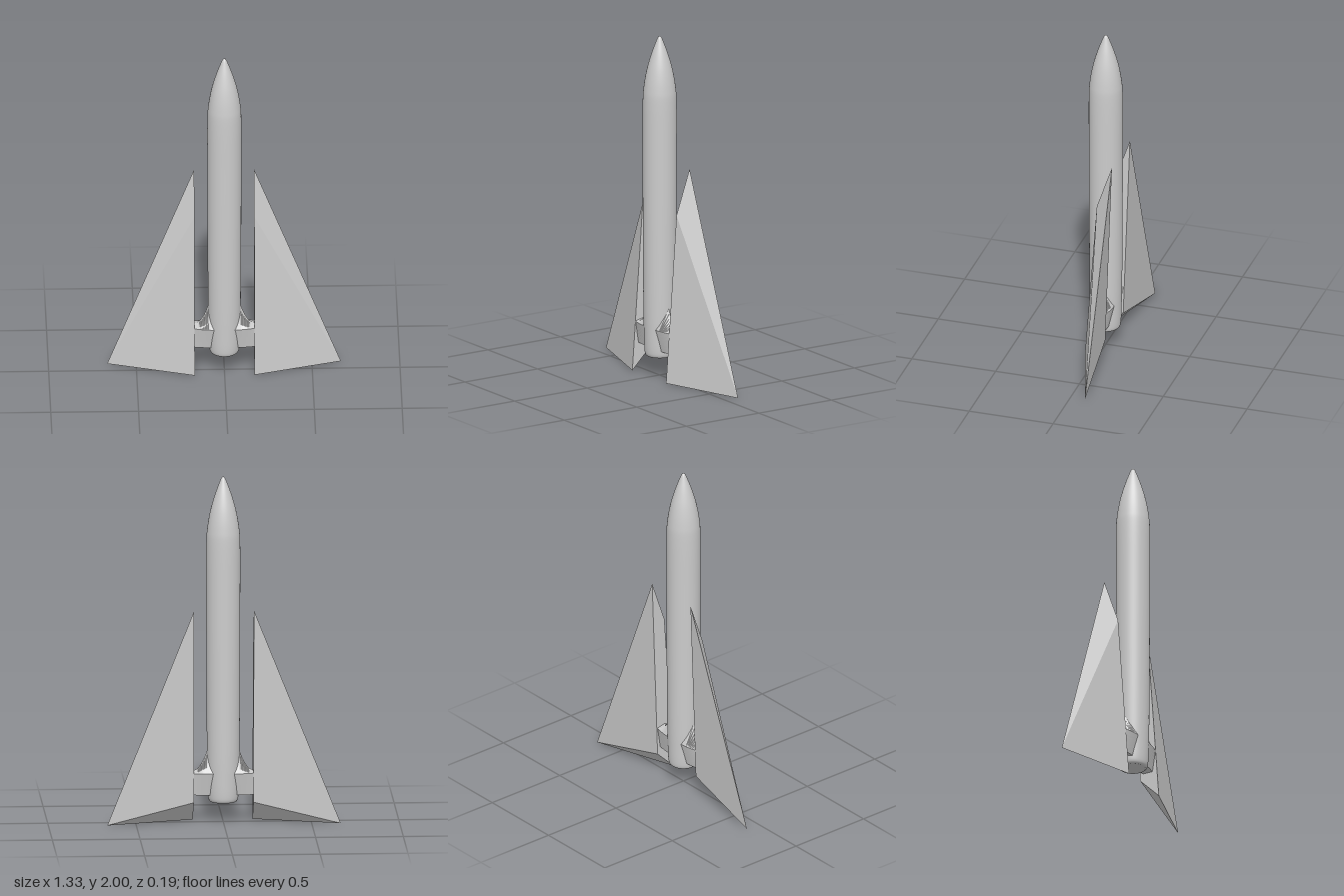
import * as THREE from 'three';

const material = new THREE.MeshStandardMaterial({ color: 0xcccccc });
const flat = new THREE.MeshStandardMaterial({ color: 0xcccccc, flatShading: true });

// Unindexed mesh from corner points and faces; side = -1 mirrors it across x.
function facetMesh(name, points, faces, side) {
  const positions = [];
  for (const face of faces) {
    for (let i = 1; i < face.length - 1; i++) {
      const tri = [face[0], face[i], face[i + 1]];
      if (side < 0) tri.reverse();
      for (const k of tri) positions.push(points[k][0] * side, points[k][1], points[k][2]);
    }
  }
  const geometry = new THREE.BufferGeometry();
  geometry.setAttribute('position', new THREE.Float32BufferAttribute(positions, 3));
  geometry.computeVertexNormals();
  const mesh = new THREE.Mesh(geometry, flat);
  mesh.name = name;
  return mesh;
}

// Fuselage: smooth ogive nose, long tube, rounded flat-bottomed tail
function makeBody() {
  const curve = new THREE.SplineCurve([
    [0.072, 0.118], [0.082, 0.128], [0.087, 0.16], [0.09, 0.25], [0.093, 0.42],
    [0.096, 0.9], [0.097, 1.3], [0.097, 1.6], [0.091, 1.70], [0.074, 1.80],
    [0.049, 1.89], [0.022, 1.965], [0.01, 1.992], [0, 2],
  ].map(([r, y]) => new THREE.Vector2(r, y)));
  const profile = curve.getPoints(78).map((p) => new THREE.Vector2(Math.max(p.x, 0), p.y));
  const body = new THREE.Mesh(new THREE.LatheGeometry(profile, 48), material);
  body.name = 'body';

  const base = new THREE.Mesh(new THREE.CircleGeometry(0.072, 48), material);
  base.rotation.x = Math.PI / 2;
  base.position.y = 0.118;
  base.name = 'tailBase';
  return [body, base];
}

// Delta fin: a wedge with a kinked inner edge, drawn to a single outer tip
function makeFin(side) {
  const points = [
    [0.17, 1.24, -0.09],  // 0 apex
    [0.17, 0.98, 0],      // 1 kink of the leading edge
    [0.17, 0, 0.072],     // 2 front foot
    [0.17, 0.12, -0.05],  // 3 rear foot
    [0.665, 0, -0.085],   // 4 tip
  ];
  const faces = [[3, 2, 1, 0], [0, 1, 4], [1, 2, 4], [2, 3, 4], [3, 0, 4]];
  return facetMesh(side > 0 ? 'leftFin' : 'rightFin', points, faces, side);
}

// Strut: five-sided sections lofted outward, the ridged top flaring up to the body
function makeStrut(side) {
  const points = [];
  const faces = [];
  const steps = 14;
  const n = 5;
  for (let s = 0; s <= steps; s++) {
    const t = s / steps;
    const x = 0.05 + 0.12 * t;
    const half = 0.069 - 0.019 * t * t;
    const u = Math.max((x - 0.09) / 0.08, 0);
    const ridge = 0.3 + 0.12 * (1 - u) ** 2;
    points.push(
      [x, 0.288, half], [x, ridge, 0], [x, 0.288, -half],
      [x, 0.16, -half * 0.6], [x, 0.16, half * 0.6],
    );
  }
  for (let s = 0; s < steps; s++) {
    for (let i = 0; i < n; i++) {
      const j = (i + 1) % n;
      faces.push([s * n + i, (s + 1) * n + i, (s + 1) * n + j, s * n + j]);
    }
  }
  // outer end cap
  faces.push(Array.from({ length: n }, (_, i) => steps * n + n - 1 - i));
  return facetMesh(side > 0 ? 'leftStrut' : 'rightStrut', points, faces, side);
}

export function createModel() {
  const model = new THREE.Group();
  model.name = 'finnedRocket';
  model.add(...makeBody());
  for (const side of [1, -1]) model.add(makeFin(side), makeStrut(side));
  return model;
}
